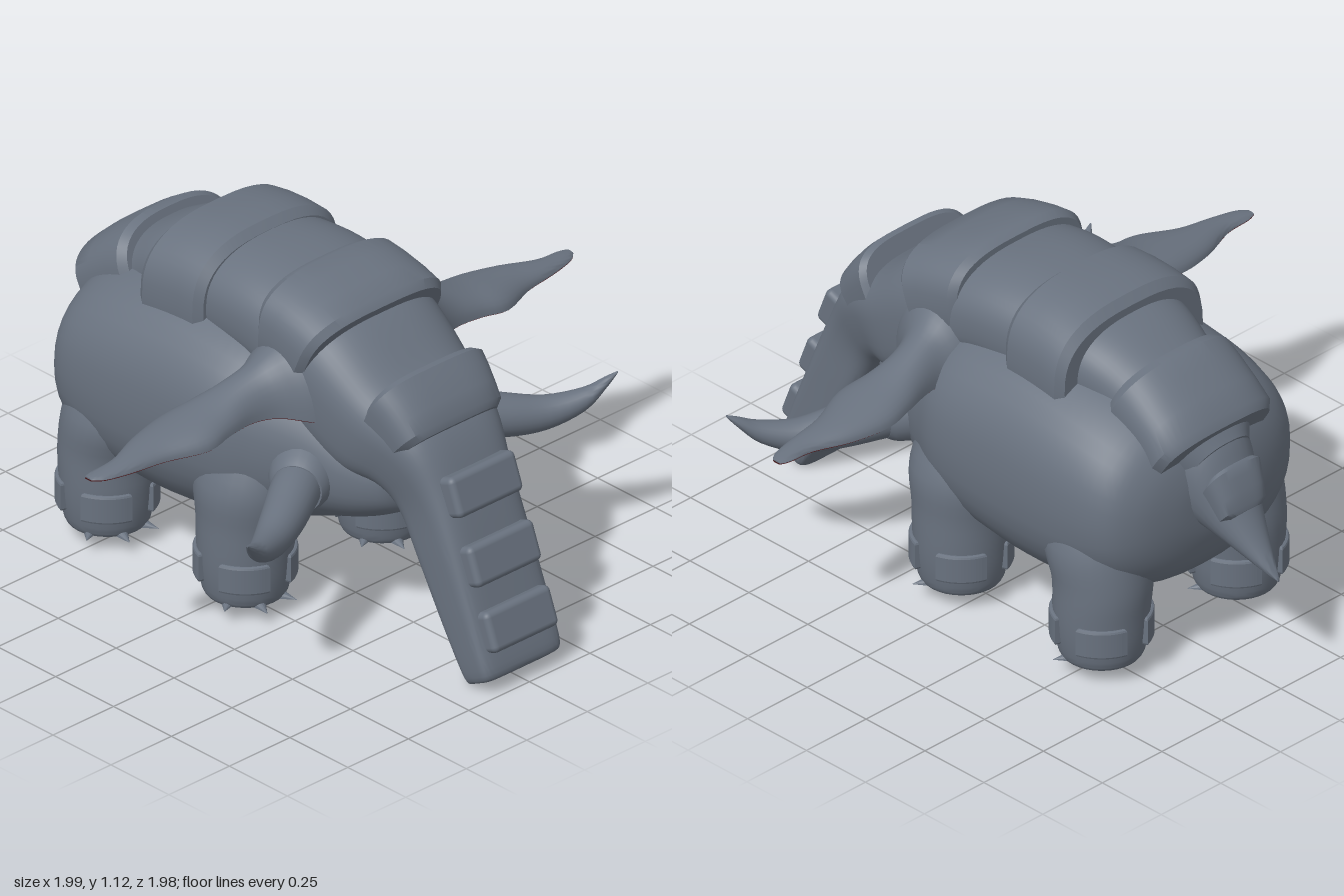
import * as THREE from 'three';
import { toCreasedNormals } from 'three/addons/utils/BufferGeometryUtils.js';
import { RoundedBoxGeometry } from 'three/addons/geometries/RoundedBoxGeometry.js';

// Catmull-Rom refinement of rows of section numbers
function refine(rows, sub) {
  const out = [];
  for (let i = 0; i < rows.length - 1; i++) {
    const a = rows[Math.max(i - 1, 0)], b = rows[i], c = rows[i + 1], d = rows[Math.min(i + 2, rows.length - 1)];
    for (let k = 0; k < sub; k++) {
      const t = k / sub;
      out.push(b.map((_, j) => 0.5 * (2 * b[j] + (c[j] - a[j]) * t
        + (2 * a[j] - 5 * b[j] + 4 * c[j] - d[j]) * t * t
        + (3 * b[j] - a[j] - 3 * c[j] + d[j]) * t * t * t)));
    }
  }
  out.push(rows[rows.length - 1]);
  return out;
}

// Capped skin over sections; place(row, cos, sin) gives one point of a section
function loft(rows, place, sub = 5, segs = 40, crease = 0.7) {
  const list = sub > 1 ? refine(rows, sub) : rows;
  const pos = [], idx = [], n = list.length;
  for (const r of list) {
    for (let s = 0; s < segs; s++) {
      const a = s / segs * Math.PI * 2;
      pos.push(...place(r, Math.cos(a), Math.sin(a)));
    }
  }
  for (let i = 0; i < n - 1; i++) for (let s = 0; s < segs; s++) {
    const a = i * segs + s, b = i * segs + (s + 1) % segs;
    idx.push(a, b, a + segs, b, b + segs, a + segs);
  }
  for (const e of [0, n - 1]) {
    const mid = [0, 0, 0], base = e * segs, center = pos.length / 3;
    for (let s = 0; s < segs; s++) for (let j = 0; j < 3; j++) mid[j] += pos[(base + s) * 3 + j] / segs;
    pos.push(...mid);
    for (let s = 0; s < segs; s++) {
      const p = base + s, q = base + (s + 1) % segs;
      if (e) idx.push(center, p, q); else idx.push(center, q, p);
    }
  }
  // turn the faces outward when the enclosed volume is negative
  let vol = 0;
  const A = new THREE.Vector3(), B = new THREE.Vector3(), C = new THREE.Vector3();
  for (let i = 0; i < idx.length; i += 3) {
    A.fromArray(pos, idx[i] * 3); B.fromArray(pos, idx[i + 1] * 3); C.fromArray(pos, idx[i + 2] * 3);
    vol += A.dot(B.cross(C));
  }
  if (vol < 0) idx.reverse();
  const g = new THREE.BufferGeometry();
  g.setAttribute('position', new THREE.Float32BufferAttribute(pos, 3));
  g.setIndex(idx);
  return toCreasedNormals(g, crease);
}

const pow = (v, n) => Math.sign(v) * Math.abs(v) ** (2 / n);
// section given as [top z, top y, bottom z, bottom y, half width, squareness]
const slice = ([zt, yt, zb, yb, w, n], c, s) => {
  const k = pow(s, n) / 2;
  return [w * pow(c, n), (yt + yb) / 2 + (yt - yb) * k, (zt + zb) / 2 + (zt - zb) * k];
};
// section given as [y, center x, center z, radius x, radius z]
const level = ([y, x, z, rx, rz], c, s) => [x + rx * c, y, z + rz * s];
// section given as [x, y, z, radius] across the tusk direction
const across = ([x, y, z, r], c, s) => [x - 0.5 * r * c, y + r * s, z + 0.86 * r * c];

export function createModel() {
  const model = new THREE.Group();
  const hide = new THREE.MeshStandardMaterial({ color: 0x69727f });
  hide.name = 'slate grey hide';
  const inner = new THREE.MeshStandardMaterial({ color: 0x421316, side: THREE.DoubleSide });
  inner.name = 'dark red inner ear';
  const add = (name, geo, mat = hide, parent = model) => {
    const m = new THREE.Mesh(geo, mat);
    m.name = name;
    parent.add(m);
    return m;
  };

  // barrel body reaching forward into the jaw
  add('body', loft([
    [0.565, 0.56, 0.565, 0.47, 0.06, 2.2], [0.54, 0.62, 0.54, 0.43, 0.16, 2.3],
    [0.45, 0.7, 0.45, 0.385, 0.24, 2.4], [0.32, 0.8, 0.32, 0.34, 0.3, 2.4],
    [0.18, 0.88, 0.18, 0.29, 0.37, 2.4], [0.05, 0.93, 0.05, 0.25, 0.42, 2.5],
    [-0.2, 0.96, -0.2, 0.205, 0.43, 2.5], [-0.45, 0.93, -0.45, 0.22, 0.43, 2.5],
    [-0.62, 0.87, -0.62, 0.27, 0.4, 2.4], [-0.7, 0.79, -0.7, 0.34, 0.32, 2.3],
    [-0.74, 0.69, -0.74, 0.45, 0.18, 2.2], [-0.748, 0.6, -0.748, 0.54, 0.04, 2],
  ], slice));

  // back ridge, head and trunk in one sweep
  add('ridgeHeadAndTrunk', loft([
    [-0.78, 0.78, -0.68, 0.58, 0.12, 2.4], [-0.7, 0.88, -0.58, 0.64, 0.19, 2.5],
    [-0.53, 0.99, -0.46, 0.7, 0.21, 2.5], [-0.37, 1.06, -0.34, 0.75, 0.24, 2.5],
    [-0.1, 1.105, -0.1, 0.76, 0.27, 2.5], [0.1, 1.095, 0.1, 0.74, 0.28, 2.6],
    [0.34, 1.03, 0.2, 0.62, 0.28, 2.8], [0.53, 0.89, 0.38, 0.54, 0.255, 3],
    [0.69, 0.77, 0.5, 0.54, 0.21, 3.4], [0.785, 0.6, 0.575, 0.49, 0.175, 4],
    [0.865, 0.4, 0.66, 0.36, 0.168, 5], [0.94, 0.2, 0.78, 0.165, 0.165, 6],
    [0.985, 0.08, 0.868, 0.025, 0.16, 6], [0.975, 0.05, 0.885, 0.008, 0.14, 5],
  ], slice, 5, 56));

  // tail spike
  add('tail', loft([
    [-0.72, 0.84, -0.66, 0.5, 0.15, 2.2], [-0.78, 0.77, -0.735, 0.48, 0.125, 2.2],
    [-0.84, 0.63, -0.79, 0.46, 0.095, 2], [-0.91, 0.505, -0.87, 0.43, 0.055, 2],
    [-0.96, 0.43, -0.94, 0.4, 0.025, 2], [-0.99, 0.388, -0.99, 0.38, 0.004, 2],
  ], slice, 4, 24));

  // armour plates wrapped over the ridge, with bevelled ends
  const plates = [
    ['midBackPlate', [-0.115, 1.13, -0.115, 0.7, 0.3, 2.7], [-0.375, 1.11, -0.375, 0.68, 0.31, 2.7]],
    ['headPlate', [0.115, 1.13, 0.1, 0.8, 0.285, 2.9], [0.385, 1.06, 0.25, 0.76, 0.292, 3]],
    ['rumpPlate', [-0.56, 1.025, -0.42, 0.72, 0.24, 2.7], [-0.785, 0.85, -0.65, 0.64, 0.235, 2.7]],
    ['tailPlate', [-0.815, 0.73, -0.74, 0.6, 0.115, 3], [-0.875, 0.59, -0.8, 0.51, 0.085, 3]],
    ['browPlate', [0.585, 0.945, 0.45, 0.68, 0.235, 3.4], [0.715, 0.79, 0.56, 0.62, 0.205, 3.6]],
  ];
  const blend = (a, b, t) => a.map((v, i) => v + (b[i] - v) * t);
  const shrink = ([zt, yt, zb, yb, w, n]) =>
    [...blend([zt, yt], [zb, yb], 0.06), ...blend([zb, yb], [zt, yt], 0.06), w - 0.02, n];
  for (const [name, a, b] of plates) {
    const rows = [shrink(a)];
    for (const t of [0.1, 0.35, 0.65, 0.9]) {
      const r = blend(a, b, t), lift = t > 0.2 && t < 0.8 ? 0.008 : 0;
      r[1] += lift;
      rows.push(r);
    }
    rows.push(shrink(b));
    add(name, loft(rows, slice, 1, 48, 0.6));
  }

  // trunk plates
  for (const [y, z] of [[0.6, 0.79], [0.395, 0.87], [0.2, 0.942]]) {
    const p = add('trunkPlate', new RoundedBoxGeometry(0.27, 0.13, 0.07, 3, 0.02));
    p.position.set(0, y, z);
    p.rotation.x = -0.37;
  }

  // ear rows: x, top y, lower rim y, front z, back z
  const earRows = [
    [0.18, 0.98, 0.72, 0.42, 0.03], [0.27, 0.945, 0.74, 0.36, 0.05], [0.34, 0.895, 0.75, 0.28, 0.08],
    [0.42, 0.86, 0.753, 0.25, 0.075], [0.52, 0.825, 0.75, 0.255, 0.05], [0.62, 0.803, 0.74, 0.265, 0.035],
    [0.75, 0.78, 0.735, 0.215, 0.06], [0.87, 0.762, 0.735, 0.195, 0.105], [0.96, 0.75, 0.738, 0.175, 0.11],
    [0.995, 0.744, 0.74, 0.15, 0.12],
  ];
  const earShell = ([x, t, b, f, k], c, s) =>
    [x, b + (t - b) * Math.max(s, 0), (f + k) / 2 + (f - k) / 2 * c];
  const earLining = ([x, , b, f, k], c, s) =>
    [x, b - 0.003 + 0.002 * s, (f + k) / 2 + (f - k) / 2 * c * 0.97];

  for (const side of [1, -1]) {
    const half = new THREE.Group();
    half.name = side > 0 ? 'leftSide' : 'rightSide';
    half.scale.x = side;
    model.add(half);

    add('ear', loft(earRows, earShell, 4, 32), hide, half);
    add('earLining', loft(earRows, earLining, 4, 16), inner, half);

    // tusk and its socket
    add('tusk', loft([
      [0.22, 0.54, 0.28, 0.075], [0.34, 0.53, 0.345, 0.077], [0.46, 0.505, 0.415, 0.068],
      [0.57, 0.495, 0.475, 0.053], [0.67, 0.525, 0.535, 0.036], [0.73, 0.57, 0.565, 0.018], [0.765, 0.6, 0.582, 0.003],
    ], across, 4, 24), hide, half);
    add('tuskSocket', loft([
      [0.17, 0.56, 0.25, 0.14], [0.25, 0.55, 0.295, 0.115], [0.31, 0.535, 0.33, 0.095], [0.335, 0.53, 0.345, 0.08],
    ], across, 3, 24), hide, half);

    for (const z of [0.07, -0.525]) {
      const name = z > 0 ? 'frontLeg' : 'hindLeg';
      const x = 0.283, tuck = z > 0 ? 0 : 0.03;
      add(name, loft([
        [0.06, x, z, 0.122, 0.122], [0.08, x, z, 0.132, 0.132], [0.14, x, z, 0.142, 0.142],
        [0.215, x, z, 0.147, 0.148], [0.32, x - 0.005, z, 0.152, 0.155],
        [0.45, x - 0.02, z + tuck, 0.165, 0.175], [0.6, x - 0.07, z + tuck, 0.15, 0.16],
      ], level, 4, 32), hide, half);

      // curved ankle plates
      const arc = new THREE.Shape();
      arc.absarc(0, 0, 0.15, -0.46, 0.46, false);
      arc.absarc(0, 0, 0.125, 0.46, -0.46, true);
      const cuff = new THREE.ExtrudeGeometry(arc, {
        depth: 0.08, bevelSize: 0.008, bevelThickness: 0.008, bevelSegments: 2, curveSegments: 8,
      }).rotateX(-Math.PI / 2);
      for (let i = 0; i < 4; i++) {
        const c = add('anklePlate', cuff, hide, half);
        c.position.set(x, 0.127, z);
        c.rotation.y = Math.PI / 4 + i * Math.PI / 2;
      }

      // claws fanned around the front of the foot
      const claw = new THREE.ConeGeometry(0.042, 0.11, 12, 1, false, -Math.PI / 2, Math.PI * 2)
        .rotateX(Math.PI / 2);
      const p = claw.attributes.position;
      for (let i = 0; i < p.count; i++) p.setY(i, Math.max(p.getY(i), 0));
      claw.computeVertexNormals();
      for (const a of [-1.3, -0.43, 0.43, 1.3]) {
        const c = add('claw', claw, hide, half);
        c.position.set(x + Math.sin(a) * 0.105, 0.06, z + Math.cos(a) * 0.118);
        c.rotation.y = a * 0.75;
      }
    }
  }
  return model;
}
